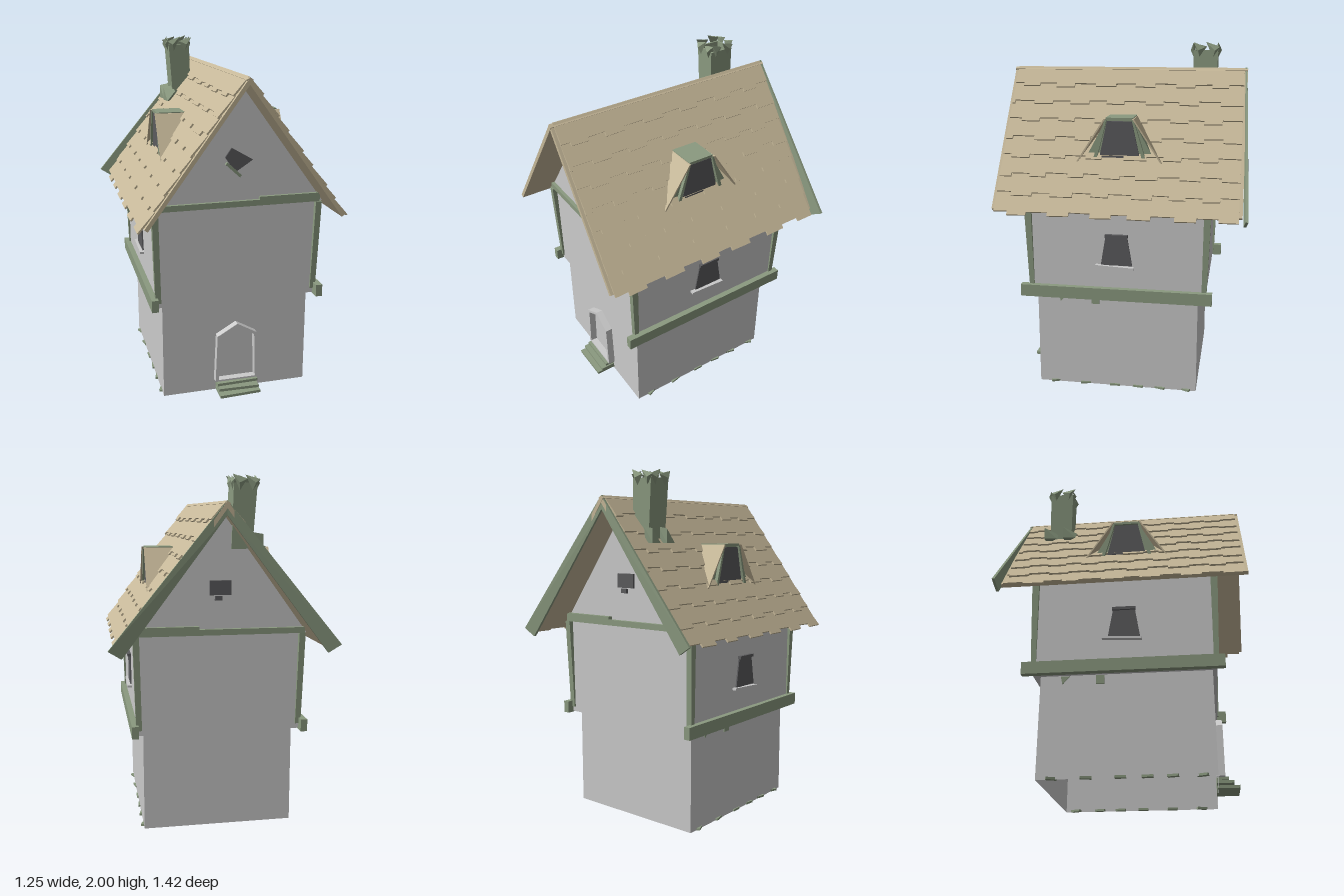
import * as THREE from 'three';
import { ConvexGeometry } from 'three/addons/geometries/ConvexGeometry.js';

const mat = (color) => new THREE.MeshStandardMaterial({ color, flatShading: true, side: THREE.DoubleSide });
const WALL = mat(0xcccccc), WOOD = mat(0x8b9a80), TILE = mat(0xc6b899), GLASS = mat(0x5c5c5e);

let seed = 7;
const rand = () => (seed = (seed * 16807) % 2147483647) / 2147483647;

function add(parent, name, geo, material) {
  const mesh = new THREE.Mesh(geo, material);
  mesh.name = name;
  parent.add(mesh);
  return mesh;
}
// Box given by its extents
function box(parent, name, material, x0, x1, y0, y1, z0, z1) {
  const mesh = add(parent, name, new THREE.BoxGeometry(x1 - x0, y1 - y0, z1 - z0), material);
  mesh.position.set((x0 + x1) / 2, (y0 + y1) / 2, (z0 + z1) / 2);
  return mesh;
}
// Convex solid around a few corners
const hull = (parent, name, material, pts) =>
  add(parent, name, new ConvexGeometry(pts.map((p) => new THREE.Vector3(...p))), material);

const shapeOf = (pts) => new THREE.Shape(pts.map((p) => new THREE.Vector2(...p)));
const extrude = (shape, depth) => new THREE.ExtrudeGeometry(shape, { depth, bevelEnabled: false });

// Walls: open-bottomed ground floor, overhanging upper floor with gables
function addWalls(house) {
  const ground = box(house, 'groundFloor', WALL, -0.43, 0.43, 0, 0.57, -0.45, 0.49);
  const index = Array.from(ground.geometry.index.array);
  ground.geometry.setIndex(index.filter((_, i) => i < 12 || i >= 24));
  ground.geometry.clearGroups();
  const profile = shapeOf([[-0.465, 0.57], [0.465, 0.57], [0.465, 1.13], [0.497, 1.13], [0, 1.81], [-0.497, 1.13], [-0.465, 1.13]]);
  add(house, 'upperFloor', extrude(profile, 1.005), WALL).position.z = -0.49;
  // Gable beams
  for (const [z0, z1] of [[0.51, 0.535], [-0.515, -0.485]]) {
    box(house, 'gableBeam', WOOD, -0.48, 0.12, 1.13, 1.163, z0, z1);
    box(house, 'gableBeam', WOOD, 0.12, 0.475, 1.13, 1.18, z0, z1);
  }
  // Gable windows
  const pane = shapeOf([[-0.075, 1.41], [-0.02, 1.325], [0.08, 1.39], [-0.04, 1.46]]);
  add(house, 'frontGableWindow', extrude(pane, 0.012), GLASS).position.z = 0.515;
  box(house, 'frontGableSill', WOOD, -0.055, 0.055, -0.008, 0.008, 0, 0.03).position.set(-0.03, 1.34, 0.52);
  house.children.at(-1).rotation.z = -0.75;
  box(house, 'backGableWindow', GLASS, -0.06, 0.06, 1.35, 1.43, -0.502, -0.49);
  box(house, 'backGableSill', GLASS, -0.01, 0.03, 1.32, 1.345, -0.505, -0.49);
}

// Pointed door frame and steps
function addDoor(house) {
  const frame = shapeOf([[-0.13, 0.07], [0.13, 0.07], [0.118, 0.36], [0, 0.428], [-0.118, 0.36]]);
  frame.holes.push(shapeOf([[-0.11, 0.08], [-0.102, 0.35], [0, 0.41], [0.102, 0.35], [0.11, 0.08]]));
  add(house, 'doorFrame', extrude(frame, 0.045), WALL).position.z = 0.487;
  [0.61, 0.58, 0.55].forEach((z, i) => {
    const step = box(house, 'doorStep', WOOD, -0.12, 0.12, 0.008 + i * 0.022, 0.024 + i * 0.022, 0.485, z);
    step.rotation.z = [0.03, -0.02, 0.015][i];
  });
}

// One roof slope: thin deck with jagged rows of shingles
function addSlope(side) {
  const slope = new THREE.Group();
  slope.name = 'roofSlope';
  slope.position.y = 1.852;
  slope.rotation.z = -Math.atan2(0.765, 0.56);
  side.add(slope);
  box(slope, 'roofDeck', TILE, 0, 0.935, -0.022, 0, -0.697, 0.695);
  const rows = 8, run = 0.948 / rows;
  for (let r = 0; r < rows; r++) {
    const pts = [[0, 0.678], [0, -0.678]];
    let z = -0.678, long = r % 2;
    while (z < 0.678) {
      const next = z > 0.56 ? 0.678 : z + 0.085 + rand() * 0.045;
      const u = run + (long ? 0.022 : 0) + rand() * 0.006;
      pts.push([u, z], [u + rand() * 0.006 - 0.003, next]);
      z = next;
      long = 1 - long;
    }
    const geo = extrude(shapeOf(pts), 0.01);
    geo.rotateX(Math.PI / 2);
    const row = add(slope, 'shingleRow', geo, TILE);
    row.position.set(r * run, 0.003, 0);
    row.rotation.z = 0.09;
  }
}

// Dormer with flat cap, splayed cheeks and dark window
function addDormer(side) {
  const dormer = new THREE.Group();
  dormer.name = 'dormer';
  side.add(dormer);
  const both = (f) => [1, -1].flatMap(f);
  hull(dormer, 'dormerBody', WOOD, both((s) => [[0.2, 1.585, s * 0.075], [0.35, 1.585, s * 0.075], [0.35, 1.355, s * 0.2], [0.26, 1.4, s * 0.12]]));
  box(dormer, 'dormerCap', WOOD, 0.195, 0.365, 1.58, 1.595, -0.077, 0.077);
  hull(dormer, 'dormerWindow', GLASS, both((s) => [0.35, 0.36].flatMap((x) => [[x, 1.37, s * 0.115], [x, 1.575, s * 0.07]])));
  for (const s of [1, -1]) {
    const cheek = [[0.2, 1.59, s * 0.07], [0.378, 1.59, s * 0.075], [0.378, 1.345, s * 0.235]];
    hull(dormer, 'dormerCheek', TILE, [...cheek, ...cheek.map(([x, y, z]) => [x, y, z + s * 0.01])]);
    hull(dormer, 'dormerTrim', WOOD, [0.35, 0.37].flatMap((x) => [
      [x, 1.585, s * 0.07], [x, 1.585, s * 0.082], [x, 1.36, s * 0.13], [x, 1.36, s * 0.15]]));
  }
}

// Everything repeated on both long sides, built for +x
function addSide(house, turn) {
  const side = new THREE.Group();
  side.name = turn ? 'rightSide' : 'leftSide';
  side.position.z = 0.013;
  side.rotation.y = turn;
  house.add(side);
  addSlope(side);
  addDormer(side);
  box(side, 'sideBeam', WOOD, 0.46, 0.498, 0.565, 0.635, -0.545, 0.56);
  // Leaning corner posts
  for (const s of [1, -1]) {
    const ring = (y, x0, x1, z0, z1) => [[x0, y, s * z0], [x1, y, s * z0], [x1, y, s * z1], [x0, y, s * z1]];
    hull(side, 'cornerPost', WOOD, [...ring(0.6, 0.44, 0.472, 0.485, 0.512), ...ring(1.13, 0.45, 0.485, 0.49, 0.53)]);
  }
  // Tapered window with sill and lintel
  hull(side, 'sideWindow', GLASS, [1, -1].flatMap((s) => [0.46, 0.473].flatMap((x) => [[x, 0.77, s * 0.09], [x, 0.95, s * 0.06]])));
  box(side, 'windowLintel', GLASS, 0.46, 0.485, 0.935, 0.952, -0.065, 0.065);
  box(side, 'windowSill', WALL, 0.46, 0.49, 0.755, 0.768, -0.1, 0.12).rotation.x = -0.05;
  // Loose chips on the wall and along the ground
  box(side, 'wallChip', WOOD, 0.425, 0.436, 0.515, 0.565, 0.11, 0.155);
  hull(side, 'wallChip', WOOD, [0.425, 0.436].flatMap((x) => [[x, 0.565, 0.3], [x, 0.565, 0.35], [x, 0.52, 0.34]]));
  for (const z of [-0.4, -0.25, -0.12, 0.02, 0.2, 0.38])
    box(side, 'groundChip', WOOD, 0.41, 0.438, 0, 0.012, z - 0.03, z + 0.03).rotation.y = z;
}

// Twisted boards along the back gable
function addBargeboards(house) {
  for (const s of [1, -1])
    hull(house, 'bargeboard', WOOD, [
      [0, 1.855, -0.68], [0, 1.78, -0.68], [s * 0.555, 1.05, -0.705], [s * 0.625, 1.095, -0.715],
      [0, 1.855, -0.668], [0, 1.78, -0.668], [s * 0.555, 1.05, -0.69], [s * 0.625, 1.095, -0.7]]);
}

// Hollow leaning chimney with ragged crown and flashing
function addChimney(house) {
  const chimney = new THREE.Group();
  chimney.name = 'chimney';
  house.add(chimney);
  const low = [[-0.175, -0.5], [-0.06, -0.5], [-0.06, -0.365], [-0.175, -0.365]];
  const high = [[-0.2, -0.505], [-0.07, -0.505], [-0.07, -0.36], [-0.2, -0.36]];
  const cx = -0.125, cz = -0.432;
  for (let i = 0; i < 4; i++) {
    const j = (i + 1) % 4;
    const inset = ([x, z], y, k) => [cx + (x - cx) * k, y, cz + (z - cz) * k];
    const wall = [1, 0.85].flatMap((k) => [
      inset(low[i], 1.6, k), inset(low[j], 1.6, k), inset(high[i], 1.95, k), inset(high[j], 1.95, k)]);
    hull(chimney, 'chimneyWall', WOOD, wall);
    // Leaning shards on each top edge
    for (const t of [0.2, 0.75]) {
      const x = high[i][0] + (high[j][0] - high[i][0]) * t, z = high[i][1] + (high[j][1] - high[i][1]) * t;
      const dx = (x - cx) * 0.25, dz = (z - cz) * 0.25, w = 0.035 + rand() * 0.015;
      const ax = i % 2 ? 0 : w, az = i % 2 ? w : 0;
      hull(chimney, 'crownShard', WOOD, [
        [x - ax, 1.97, z - az], [x + ax, 1.99 + t * 0.01, z + az], [x, 1.91, z],
        [x + dx, 1.95, z + dz], [x - dx * 0.4, 1.98, z - dz * 0.4]]);
    }
  }
  // Flashing where the chimney meets the roof
  for (const [z0, z1] of [[-0.53, -0.45], [-0.41, -0.33]])
    hull(chimney, 'flashing', WOOD, [
      [-0.23, 1.68, z0], [-0.23, 1.6, z0], [-0.17, 1.69, z0], [-0.17, 1.6, z0 + 0.01], [-0.22, 1.6, z1], [-0.17, 1.66, z1]]);
}

export function createModel() {
  const house = new THREE.Group();
  house.name = 'house';
  addWalls(house);
  addDoor(house);
  addSide(house, 0);
  addSide(house, Math.PI);
  addBargeboards(house);
  addChimney(house);
  return house;
}
